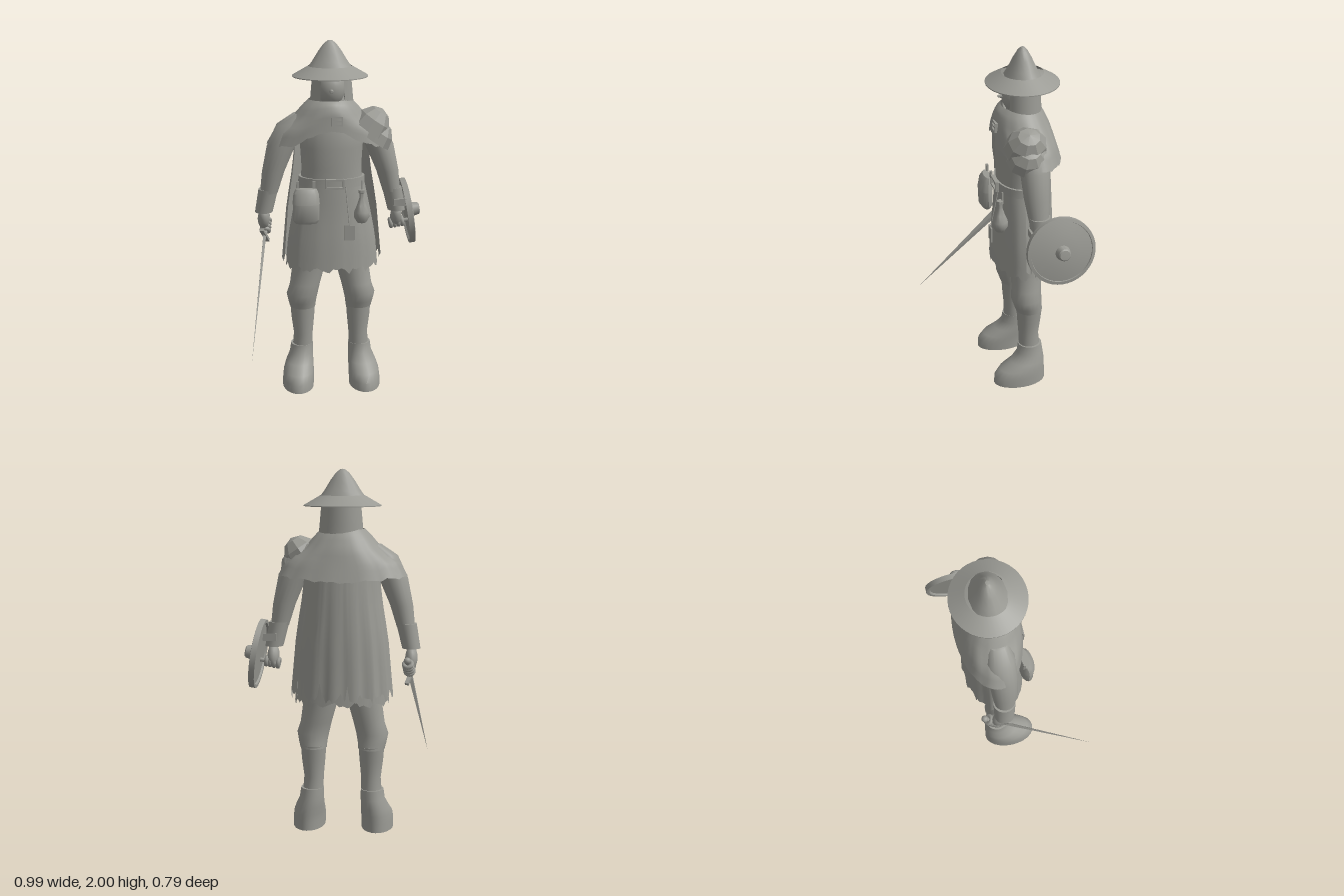
import * as THREE from 'three';
import { toCreasedNormals } from 'three/addons/utils/BufferGeometryUtils.js';

const MID = -0.035; // body centre line
const grey = new THREE.MeshStandardMaterial({ color: 0x9a9a94, side: THREE.DoubleSide });
grey.name = 'stone grey';

function add(parent, name, geo, pos = [0, 0, 0], rot = [0, 0, 0], scale = [1, 1, 1]) {
  const m = new THREE.Mesh(geo, grey);
  m.name = name;
  m.position.set(...pos);
  m.rotation.set(...rot);
  m.scale.set(...scale);
  parent.add(m);
  return m;
}

// Grid surface from f(u, v) -> [x, y, z]
function sheet(nu, nv, f, crease = 0.7) {
  const pos = [], idx = [], row = nu + 1;
  for (let j = 0; j <= nv; j++) for (let i = 0; i <= nu; i++) pos.push(...f(i / nu, j / nv));
  for (let j = 0; j < nv; j++) for (let i = 0; i < nu; i++) {
    const a = j * row + i;
    idx.push(a, a + 1, a + row + 1, a, a + row + 1, a + row);
  }
  const g = new THREE.BufferGeometry();
  g.setAttribute('position', new THREE.Float32BufferAttribute(pos, 3));
  g.setIndex(idx);
  return toCreasedNormals(g, crease);
}

// Capped stack of horizontal ellipses, bottom to top: [x, y, z, rx, rz]
function loft(rings, seg = 20) {
  const a = rings[0], b = rings[rings.length - 1];
  const all = [[a[0], a[1], a[2], 0, 0], ...rings, [b[0], b[1], b[2], 0, 0]];
  return sheet(seg, all.length - 1, (u, v) => {
    const [x, y, z, rx, rz] = all[Math.round(v * (all.length - 1))];
    const t = u * Math.PI * 2;
    return [x + rx * Math.sin(t), y, z + rz * Math.cos(t)];
  });
}

// Linear lookup in rows of [t, a, b, ...]
function lookup(table, t) {
  let k = 0;
  while (k < table.length - 2 && t > table[k + 1][0]) k++;
  const p = table[k], q = table[k + 1], f = (t - p[0]) / (q[0] - p[0]);
  return p.map((n, i) => n + (q[i] - n) * f);
}

const lathe = (pts, seg, crease = 0.5) =>
  toCreasedNormals(new THREE.LatheGeometry(pts.map(p => new THREE.Vector2(...p)), seg), crease);
const ragged = t => 0.012 * Math.sin(t * 13) + 0.009 * Math.sin(t * 29 + 1) + 0.006 * Math.sin(t * 47);

// Fingers curled round a grip that runs along local y
function fingers(parent, y0) {
  for (let i = 0; i < 4; i++)
    add(parent, 'finger', new THREE.TorusGeometry(0.022, 0.012, 8, 14), [0, y0 + i * 0.022, 0], [Math.PI / 2, 0, 0]);
}

function addHat(g) {
  const hat = new THREE.Group();
  hat.name = 'hat';
  hat.position.set(MID, 0, -0.11);
  add(hat, 'hatBrim', lathe([[0.1, 1.84], [0.21, 1.803], [0.21, 1.808], [0.12, 1.86]], 40), [0, 0, 0], [0, 0, 0], [1, 1, 0.95]);
  add(hat, 'hatCrown', lathe([[0.132, 1.842], [0.1, 1.885], [0.066, 1.94], [0.036, 1.98], [0.013, 1.998], [0, 2]], 14),
    [0, 0, 0], [0, 0, 0], [1, 1, 0.74]);
  g.add(hat);
}

function addHead(g) {
  add(g, 'face', new THREE.SphereGeometry(1, 20, 14), [MID, 1.74, -0.075], [0, 0, 0], [0.08, 0.1, 0.08]);
  add(g, 'breathingValve', new THREE.CylinderGeometry(0.007, 0.012, 0.025, 10), [MID, 1.735, 0.012], [Math.PI / 2, 0, 0]);
  add(g, 'neck', loft([[MID, 1.58, -0.1, 0.1, 0.08], [MID, 1.7, -0.1, 0.075, 0.075]]));
  // Hood, open at the face
  add(g, 'hood', sheet(28, 4, (u, v) => {
    const t = 0.6 + u * (Math.PI * 2 - 1.2), r = 0.122 - 0.018 * v;
    return [MID + 0.008 + r * Math.sin(t), 1.65 + v * 0.2, -0.105 + (0.105 - 0.008 * v) * Math.cos(t)];
  }));
}

function addMantle(g) {
  const profile = [[0, 0.118, 0.1, -0.095], [0.12, 0.15, 0.125, -0.095], [0.4, 0.21, 0.15, -0.105],
    [0.7, 0.31, 0.163, -0.115], [1, 0.352, 0.177, -0.125]];
  add(g, 'shoulderMantle', sheet(64, 10, (u, v) => {
    const t = u * Math.PI * 2, [, rx, rz, cz] = lookup(profile, 1 - v);
    const hem = 1.405 + 0.115 * Math.max(0, Math.cos(t)) ** 8 + 0.025 * Math.abs(Math.sin(t)) + ragged(t) * 0.35;
    return [MID - 0.003 + rx * Math.sin(t), 1.68 - (1 - v) * (1.68 - hem), cz + rz * Math.cos(t)];
  }));
  // Chest clasp
  const clasp = new THREE.Group();
  clasp.name = 'chestClasp';
  clasp.position.set(-0.008, 1.577, 0.05);
  clasp.rotation.x = -0.1;
  for (const y of [-0.022, 0, 0.022]) add(clasp, 'claspBar', new THREE.BoxGeometry(0.062, 0.008, 0.016), [0, y, 0]);
  for (const x of [-0.028, 0.028]) add(clasp, 'claspSide', new THREE.BoxGeometry(0.008, 0.05, 0.016), [x, 0, 0]);
  g.add(clasp);
}

function addBody(g) {
  add(g, 'torso', loft([[-0.03, 1.2, -0.085, 0.175, 0.118], [-0.03, 1.3, -0.085, 0.168, 0.118],
    [-0.03, 1.42, -0.085, 0.175, 0.122], [-0.03, 1.55, -0.09, 0.19, 0.115], [-0.03, 1.63, -0.095, 0.13, 0.09]], 28));
  add(g, 'belt', loft([[-0.03, 1.2, -0.085, 0.188, 0.13], [-0.03, 1.25, -0.085, 0.186, 0.128]], 28));
  for (const y of [1.203, 1.25]) add(g, 'beltBuckleBar', new THREE.BoxGeometry(0.1, 0.01, 0.02), [-0.02, y, 0.048]);
  for (const x of [-0.068, 0.028]) add(g, 'beltBuckleSide', new THREE.BoxGeometry(0.01, 0.055, 0.02), [x, 1.226, 0.048]);
  // Tunic skirt with ragged hem
  const flare = [[0, 0.262, 0.155, -0.09], [0.3, 0.25, 0.147, -0.09], [0.6, 0.222, 0.133, -0.088], [1, 0.18, 0.122, -0.085]];
  add(g, 'tunicSkirt', sheet(72, 8, (u, v) => {
    const t = u * Math.PI * 2, [, rx, rz, cz] = lookup(flare, v), hem = 0.73 + ragged(t);
    return [-0.03 + rx * Math.sin(t), hem + v * (1.24 - hem), cz + rz * Math.cos(t)];
  }));
  // Back cloak with folds and torn notches
  const drape = [[0, 0.278, 0.185], [0.4, 0.252, 0.18], [0.7, 0.215, 0.17], [1, 0.2, 0.15]];
  add(g, 'cloak', sheet(80, 8, (u, v) => {
    const t = Math.PI * (0.45 + 1.1 * u), [, rx, rz] = lookup(drape, v);
    const fold = 1 + 0.025 * (1 - v) * Math.sin(t * 15);
    const notch = Math.round(u * 80) % 13 === 5 ? 0.07 : 0;
    const hem = 0.77 + ragged(t * 1.1) * 1.3 + notch;
    return [-0.03 + rx * fold * Math.sin(t), hem + v * (1.56 - hem), -0.09 + rz * fold * Math.cos(t)];
  }));
}

function addLimbs(g, s, side) {
  const mir = rows => rows.map(([dx, ...r]) => [MID + s * dx, ...r]);
  add(g, side + 'Trousers', loft(mir([[0.162, 0.465, -0.113, 0.074, 0.076], [0.165, 0.5, -0.105, 0.08, 0.08],
    [0.165, 0.55, -0.095, 0.09, 0.087], [0.148, 0.61, -0.1, 0.087, 0.084], [0.125, 0.72, -0.105, 0.095, 0.09],
    [0.105, 0.85, -0.105, 0.1, 0.095]])));
  add(g, side + 'BootShaft', loft(mir([[0.165, 0.2, -0.117, 0.058, 0.062], [0.16, 0.3, -0.112, 0.055, 0.058],
    [0.162, 0.4, -0.113, 0.066, 0.068], [0.162, 0.48, -0.115, 0.072, 0.074]])));
  add(g, side + 'BootFoot', loft(mir([[0.194, 0, -0.048, 0.09, 0.152], [0.193, 0.05, -0.05, 0.09, 0.15],
    [0.19, 0.09, -0.065, 0.088, 0.134], [0.183, 0.13, -0.1, 0.08, 0.1], [0.172, 0.18, -0.118, 0.068, 0.076],
    [0.168, 0.235, -0.118, 0.064, 0.068]]), 24));
  add(g, side + 'Sleeve', loft(mir([[0.347, 1.15, -0.105, 0.05, 0.055], [0.322, 1.27, -0.1, 0.063, 0.07],
    [0.275, 1.42, -0.1, 0.08, 0.08], [0.22, 1.54, -0.1, 0.08, 0.075], [0.16, 1.6, -0.1, 0.05, 0.05]])));
  add(g, side + 'Cuff', loft(mir([[0.378, 1.035, -0.115, 0.05, 0.055], [0.35, 1.17, -0.108, 0.056, 0.06]])));
  add(g, side + 'Hand', new THREE.SphereGeometry(1, 14, 10), [MID + s * 0.38, 0.985, -0.14], [0.4, 0, 0], [0.034, 0.065, 0.042]);
}

function addPauldron(g) {
  const plate = toCreasedNormals(new THREE.SphereGeometry(1, 9, 3, 0, Math.PI * 2, 0, Math.PI / 2), 0.2);
  add(g, 'pauldronUpper', plate, [0.175, 1.51, -0.068], [0, 0, -0.6], [0.108, 0.14, 0.12]);
  add(g, 'pauldronLower', plate, [0.205, 1.45, -0.068], [0, 0, -0.6], [0.098, 0.12, 0.112]);
}

function addSword(g) {
  const sword = new THREE.Group();
  sword.name = 'sword';
  const start = new THREE.Vector3(-0.395, 0.99, -0.23), dir = new THREE.Vector3(-0.495, 0.33, 0.4).sub(start);
  const len = dir.length();
  sword.position.copy(start);
  sword.quaternion.setFromUnitVectors(new THREE.Vector3(0, 1, 0), dir.normalize());
  add(sword, 'pommel', new THREE.SphereGeometry(0.019, 12, 8), [0, 0.012, 0]);
  add(sword, 'grip', new THREE.CylinderGeometry(0.013, 0.013, 0.13, 10), [0, 0.07, 0]);
  add(sword, 'crossguard', new THREE.BoxGeometry(0.022, 0.018, 0.13), [0, 0.14, 0]);
  add(sword, 'blade', toCreasedNormals(new THREE.ConeGeometry(0.026, len - 0.14, 4), 0.2), [0, (len + 0.14) / 2, 0], [0, 0, 0], [0.35, 1, 1]);
  fingers(sword, 0.042);
  g.add(sword);
}

function addShield(g) {
  const shield = new THREE.Group();
  shield.name = 'shield';
  shield.position.set(0.425, 1.005, -0.2);
  shield.rotation.z = -1.42;
  add(shield, 'shieldDisc', lathe([[0, -0.015], [0.165, -0.015], [0.172, -0.025], [0.19, -0.025], [0.19, 0.006], [0.172, 0.01],
    [0.17, 0.004], [0.1, 0.018], [0, 0.024]], 40));
  add(shield, 'shieldBoss', lathe([[0.043, 0.015], [0.04, 0.028], [0.034, 0.058], [0.028, 0.064], [0, 0.066]], 18));
  g.add(shield);
  // Hand bar and arm strap
  const bar = new THREE.Group();
  bar.name = 'shieldGrip';
  bar.position.set(0.35, 0.95, -0.15);
  bar.rotation.z = -1.4;
  add(bar, 'gripBar', new THREE.CylinderGeometry(0.011, 0.011, 0.12, 8), [0, 0.02, 0]);
  fingers(bar, -0.035);
  g.add(bar);
  for (const z of [-0.17, -0.05]) add(g, 'armStrap', new THREE.BoxGeometry(0.09, 0.04, 0.012), [0.365, 1.09, z]);
}

function addBeltGear(g) {
  // Pouch with flap
  add(g, 'pouch', loft([[-0.18, 1.01, 0.06, 0.06, 0.025], [-0.18, 1.03, 0.06, 0.074, 0.038], [-0.18, 1.12, 0.06, 0.073, 0.038],
    [-0.18, 1.19, 0.055, 0.064, 0.026]], 16));
  add(g, 'pouchFlap', loft([[-0.18, 1.12, 0.062, 0.076, 0.041], [-0.18, 1.18, 0.058, 0.07, 0.034], [-0.18, 1.205, 0.052, 0.058, 0.02]], 16));
  for (const x of [-0.225, -0.135]) add(g, 'pouchStrap', new THREE.BoxGeometry(0.016, 0.06, 0.012), [x, 1.215, 0.038]);
  // Flask
  add(g, 'flask', lathe([[0, 1.005], [0.025, 1.01], [0.043, 1.04], [0.042, 1.07], [0.026, 1.11], [0.013, 1.15], [0.013, 1.175],
    [0.018, 1.178], [0.018, 1.195], [0, 1.195]], 16, 0.8), [0.128, 0, 0.058]);
  add(g, 'flaskCord', new THREE.BoxGeometry(0.008, 0.06, 0.008), [0.128, 1.215, 0.045]);
  // Hanging tag
  const cord = new THREE.LineCurve3(new THREE.Vector3(0.04, 1.21, 0.045), new THREE.Vector3(0.058, 1, 0.094));
  add(g, 'tagCord', new THREE.TubeGeometry(cord, 1, 0.003, 6));
  add(g, 'tag', new THREE.BoxGeometry(0.058, 0.085, 0.008), [0.06, 0.96, 0.095]);
}

export function createModel() {
  const g = new THREE.Group();
  g.name = 'wanderingSwordsman';
  addHat(g);
  addHead(g);
  addMantle(g);
  addBody(g);
  addLimbs(g, 1, 'left');
  addLimbs(g, -1, 'right');
  addPauldron(g);
  addSword(g);
  addShield(g);
  addBeltGear(g);
  return g;
}
